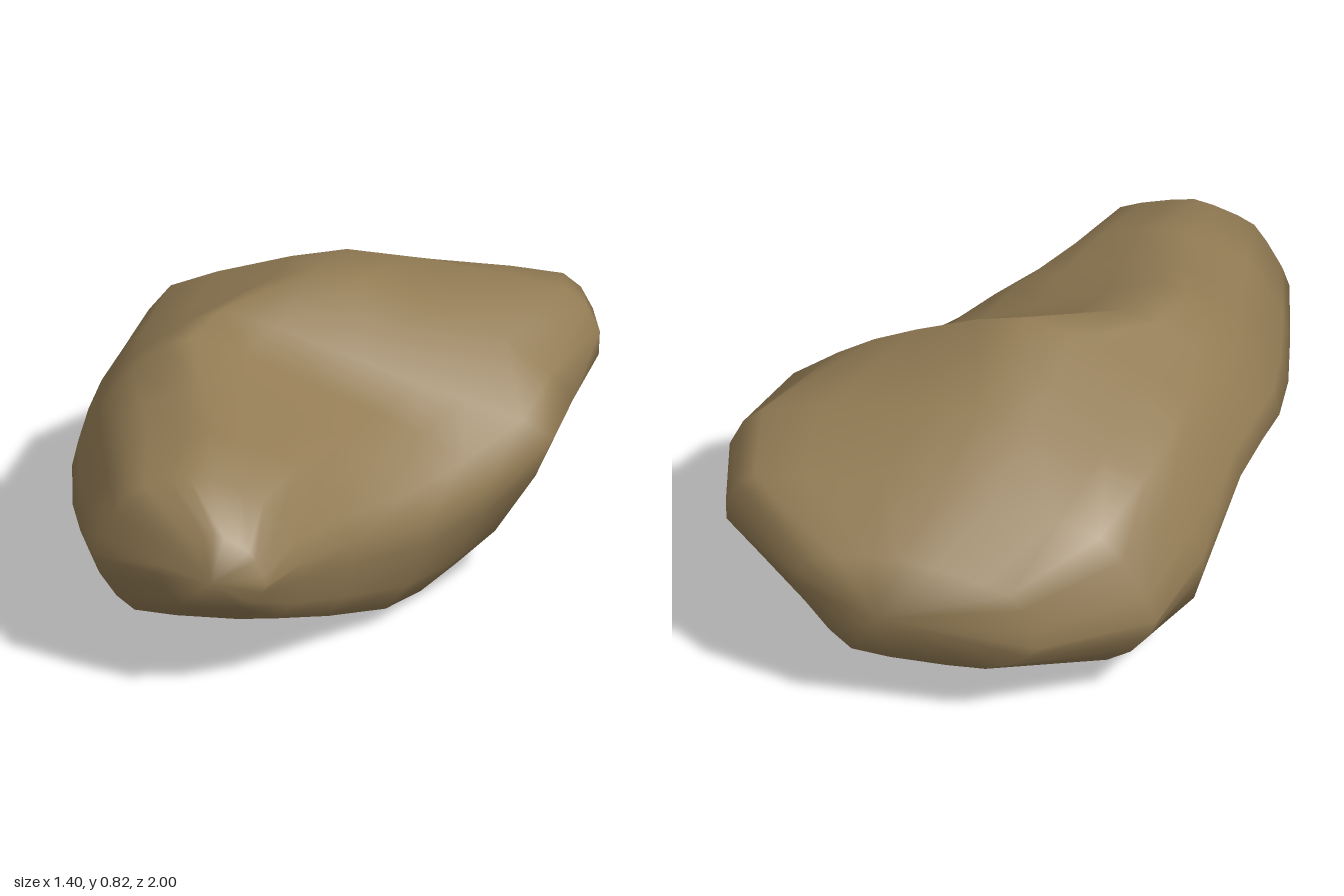
import * as THREE from 'three';

// Cross-sections from nose to back: z, then x,y of
// left, top left, top, top right, right, bottom right, bottom left
const SECTIONS = [
  [0.93, -0.39, 0.36, -0.33, 0.45, -0.24, 0.49, -0.14, 0.44, -0.09, 0.34, -0.16, 0.27, -0.33, 0.27],
  [0.81, -0.59, 0.36, -0.49, 0.55, -0.32, 0.61, -0.11, 0.55, 0.01, 0.37, -0.07, 0.19, -0.47, 0.20],
  [0.60, -0.64, 0.34, -0.52, 0.58, -0.28, 0.65, -0.03, 0.56, 0.12, 0.34, 0.05, 0.11, -0.43, 0.14],
  [0.40, -0.68, 0.33, -0.55, 0.60, -0.32, 0.69, 0.07, 0.56, 0.31, 0.33, 0.19, 0.05, -0.40, 0.11],
  [0.20, -0.70, 0.36, -0.58, 0.61, -0.37, 0.76, 0.15, 0.55, 0.46, 0.35, 0.27, 0.02, -0.38, 0.09],
  [0.03, -0.69, 0.39, -0.56, 0.61, -0.30, 0.77, 0.25, 0.57, 0.62, 0.42, 0.35, 0.03, -0.40, 0.08],
  [-0.15, -0.67, 0.39, -0.53, 0.63, -0.05, 0.83, 0.37, 0.69, 0.66, 0.46, 0.32, 0.01, -0.38, 0.05],
  [-0.49, -0.64, 0.34, -0.49, 0.61, 0.00, 0.74, 0.61, 0.65, 0.70, 0.45, 0.24, 0.03, -0.56, 0.15],
  [-0.72, -0.56, 0.27, -0.40, 0.53, 0.05, 0.62, 0.58, 0.59, 0.66, 0.43, 0.26, 0.08, -0.42, 0.12],
  [-0.92, -0.27, 0.27, -0.19, 0.44, 0.12, 0.51, 0.36, 0.48, 0.43, 0.39, 0.26, 0.19, -0.12, 0.18],
];
const NOSE = [-0.24, 0.37, 1.0];
const BACK = [0.17, 0.36, -1.0];
const SIDES = 21;

// Round one section into a ring of points
function ring([z, ...xy]) {
  const points = [];
  for (let i = 0; i < xy.length; i += 2) points.push(new THREE.Vector3(xy[i], xy[i + 1], z));
  const curve = new THREE.CatmullRomCurve3(points, true, 'catmullrom', 0.25);
  return Array.from({ length: SIDES }, (_, i) => {
    const p = curve.getPoint(i / SIDES);
    return [p.x, Math.max(0.005, p.y), p.z];
  });
}

// Skin the rings and close both ends
function boulderGeometry() {
  const positions = [...SECTIONS.flatMap(ring), NOSE, BACK].flat();
  const nose = SECTIONS.length * SIDES;
  const last = nose - SIDES;
  const index = [];
  for (let i = 0; i < SIDES; i++) {
    const j = (i + 1) % SIDES;
    for (let s = 0; s < last; s += SIDES) {
      const a = s + i, b = s + j, c = a + SIDES, d = b + SIDES;
      index.push(a, b, c, b, d, c);
    }
    index.push(nose, j, i, nose + 1, last + i, last + j);
  }
  const geometry = new THREE.BufferGeometry();
  geometry.setAttribute('position', new THREE.Float32BufferAttribute(positions, 3));
  geometry.setIndex(index);
  geometry.computeVertexNormals();
  return geometry;
}

export function createModel() {
  const stone = new THREE.MeshStandardMaterial({ color: 0x927b54 });
  stone.name = 'brown stone';
  const boulder = new THREE.Mesh(boulderGeometry(), stone);
  boulder.name = 'boulder';
  const group = new THREE.Group();
  group.name = 'rock';
  group.add(boulder);
  return group;
}
